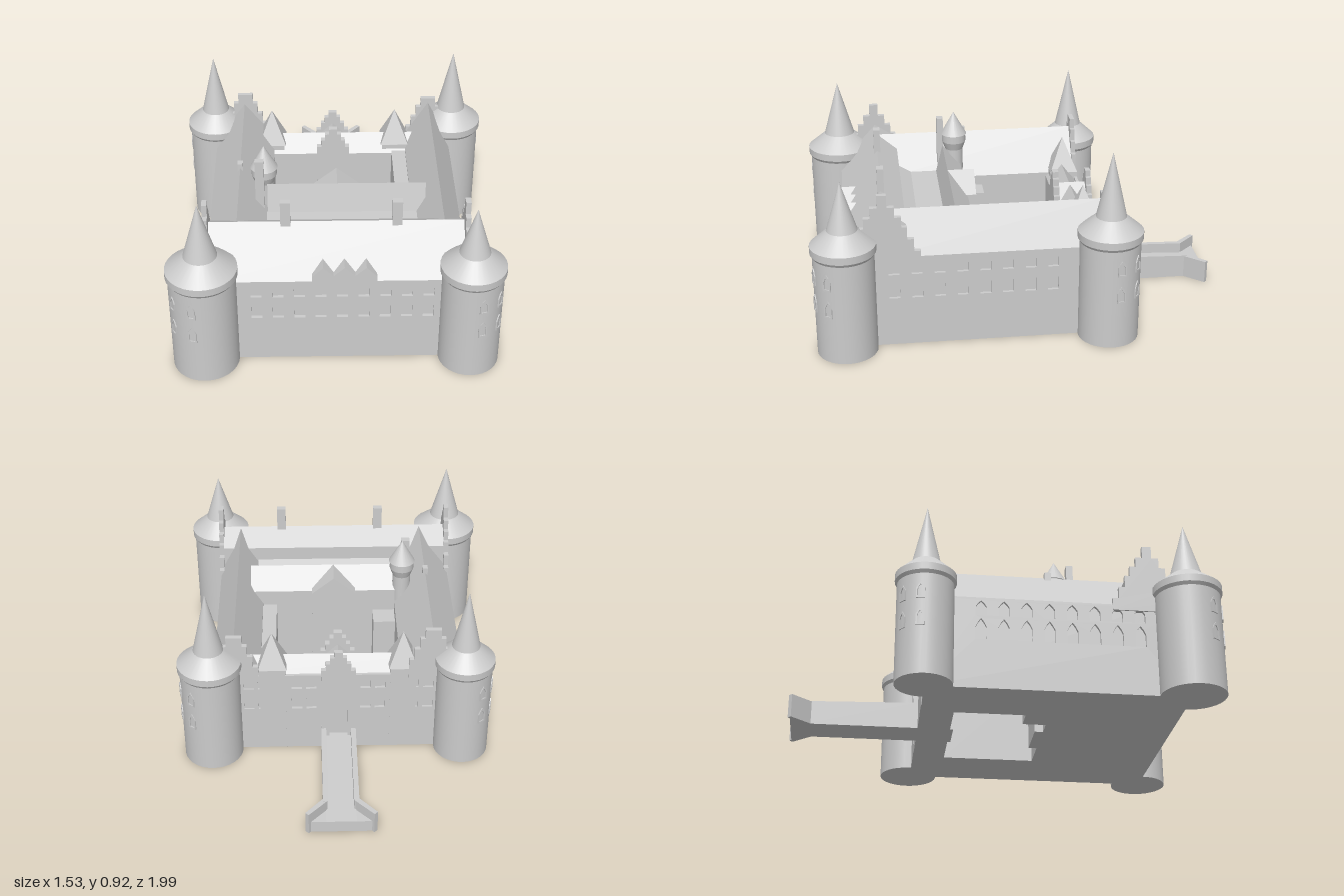
import * as THREE from 'three';

const mat = new THREE.MeshStandardMaterial({ color: 0xcccccc, side: THREE.DoubleSide });
const flat = new THREE.MeshStandardMaterial({ color: 0xcccccc, flatShading: true, side: THREE.DoubleSide });

function add(parent, name, geo, x = 0, y = 0, z = 0, ry = 0, material = flat) {
  const m = new THREE.Mesh(geo, material);
  m.name = name;
  m.position.set(x, y, z);
  m.rotation.y = ry;
  parent.add(m);
  return m;
}
const poly = pts => new THREE.Shape(pts.map(p => new THREE.Vector2(p[0], p[1])));
const extrude = (shape, depth) => new THREE.ExtrudeGeometry(shape, { depth, bevelEnabled: false });

// box given by its limits
function block(parent, name, x0, x1, y0, y1, z0, z1) {
  add(parent, name, new THREE.BoxGeometry(x1 - x0, y1 - y0, z1 - z0), (x0 + x1) / 2, (y0 + y1) / 2, (z0 + z1) / 2);
}
// prism along z from an (x, y) outline
function prismZ(parent, name, pts, z0, z1) {
  add(parent, name, extrude(poly(pts), z1 - z0), 0, 0, z0);
}
// prism along x from a (z, y) outline
function prismX(parent, name, pts, x0, x1) {
  add(parent, name, extrude(poly(pts.map(([z, y]) => [-z, y])), x1 - x0), x0, 0, 0, Math.PI / 2);
}
// pointed arch outline
const arch = (x, y, w, h) => [
  [x - w / 2, y], [x + w / 2, y], [x + w / 2, y + h * 0.6], [x + w * 0.28, y + h * 0.82],
  [x, y + h], [x - w * 0.28, y + h * 0.82], [x - w / 2, y + h * 0.6]];

// wall plate pierced by two rows of windows, outer face along local +z
const SKIN = 0.015;
function windowWall(parent, name, u0, u1, h, columns, x, z, ry) {
  const wall = poly([[u0, 0], [u1, 0], [u1, h], [u0, h]]);
  for (const u of columns) {
    wall.holes.push(new THREE.Path(poly(arch(u, 0.24, 0.05, 0.105)).getPoints()));
    wall.holes.push(new THREE.Path(poly(arch(u, 0.36, 0.05, 0.075)).getPoints()));
  }
  add(parent, name, extrude(wall, SKIN), x, 0, z, ry);
}

// stepped gable outline; steps are [half width, top] from narrow to wide
function stepped(c, base, steps) {
  const right = [];
  let low = base;
  for (const [hw, top] of [...steps].reverse()) {
    right.push([hw, low], [hw, top]);
    low = top;
  }
  const left = right.map(([x, y]) => [c - x, y]).reverse();
  return [...right.map(([x, y]) => [c + x, y]), ...left];
}

// round corner tower with flared spire and arched window frames
function tower(name, x, z, r, tip) {
  const g = new THREE.Group();
  g.name = name;
  g.position.set(x, 0, z);
  const R = r + 0.01;
  const parts = [
    ['towerBody', r, r, 0, 0.49], ['towerCorbel', r, R, 0.49, 0.505], ['towerEave', R, R, 0.505, 0.54],
    ['roofFlare', R, R * 0.47, 0.54, 0.61], ['spire', R * 0.47, 0, 0.61, tip]];
  for (const [n, r0, r1, y0, y1] of parts)
    add(g, n, new THREE.CylinderGeometry(r1, r0, y1 - y0, 32), 0, (y0 + y1) / 2, 0, 0, mat);
  const diagonal = Math.atan2(x, z);
  for (const da of [-0.35, 0.35]) for (const [y, h] of [[0.23, 0.085], [0.365, 0.08]]) {
    const frame = poly(arch(0, y, 0.04, h));
    frame.holes.push(new THREE.Path(poly(arch(0, y + 0.008, 0.026, h - 0.02)).getPoints()));
    const a = diagonal + da, d = r - 0.006;
    add(g, 'towerWindow', extrude(frame, 0.01), d * Math.sin(a), 0, d * Math.cos(a), a);
  }
  return g;
}

export function createModel() {
  const castle = new THREE.Group();
  castle.name = 'castle';

  castle.add(
    tower('frontRightTower', -0.605, 0.832, 0.153, 0.88),
    tower('frontLeftTower', 0.61, 0.83, 0.14, 0.84),
    tower('backRightTower', -0.6, -0.385, 0.132, 0.905),
    tower('backLeftTower', 0.61, -0.39, 0.142, 0.92));

  // front wing with its rear gallery
  prismX(castle, 'frontWing', [[0.815, 0], [0.815, 0.45], [0.83, 0.45], [0.645, 0.65], [0.54, 0.58], [0.54, 0]], -0.58, 0.58);
  prismX(castle, 'gallery', [[0.54, 0], [0.54, 0.51], [0.475, 0.48], [0.34, 0.48], [0.34, 0]], -0.35, 0.4);
  const nine = Array.from({ length: 9 }, (_, i) => -0.365 + i * 0.0975);
  windowWall(castle, 'frontWall', -0.58, 0.58, 0.45, nine, 0, 0.815, 0);

  // three small gables over the front
  prismZ(castle, 'frontGables', [[-0.112, 0.44], [0.18, 0.44], [0.18, 0.475], [0.132, 0.525], [0.083, 0.48],
    [0.034, 0.525], [-0.015, 0.48], [-0.063, 0.525], [-0.112, 0.475]], 0.74, 0.83);

  // side wings
  prismZ(castle, 'rightWing', [[-0.58, 0], [-0.3, 0], [-0.3, 0.45], [-0.45, 0.645], [-0.595, 0.45], [-0.58, 0.45]], -0.37, 0.645);
  prismZ(castle, 'leftWing', [[0.58, 0], [0.58, 0.45], [0.595, 0.45], [0.49, 0.645], [0.37, 0.45], [0.37, 0]], -0.37, 0.645);
  block(castle, 'courtyardLeanTo', 0.3, 0.38, 0, 0.44, -0.23, 0.23);
  const eight = Array.from({ length: 8 }, (_, i) => -0.13 + i * 0.105);
  windowWall(castle, 'leftWall', -0.82, 0.38, 0.45, eight.map(z => -z), 0.58, 0, Math.PI / 2);
  windowWall(castle, 'rightWall', -0.38, 0.82, 0.45, eight, -0.58, 0, -Math.PI / 2);

  // back wing
  prismX(castle, 'backWing', [[-0.365, 0], [-0.365, 0.43], [-0.3, 0.51], [-0.225, 0.43], [-0.225, 0]], -0.58, 0.58);
  windowWall(castle, 'backWall', -0.58, 0.58, 0.44, [-0.43, -0.36, -0.2, -0.13, 0.13, 0.2, 0.36, 0.43], 0, -0.365, Math.PI);

  // stepped gables on the wing ends
  const tall = [[0.022, 0.76], [0.055, 0.7], [0.085, 0.65], [0.11, 0.6], [0.14, 0.54], [0.17, 0.48]];
  for (const s of [-1, 1])
    prismX(castle, 'frontWingGable', stepped(0.65, 0.42, tall), s * 0.59 - 0.012, s * 0.59 + 0.012);
  for (const [x, top] of [[-0.445, 0.7], [0.49, 0.67]])
    prismZ(castle, 'sideWingGable', stepped(x, 0.42, [[0.037, top], [0.06, top - 0.05], [0.085, top - 0.11], [0.11, top - 0.17]]), -0.388, -0.365);

  // gatehouse: stepped gables front and rear, arched door and cross roof
  const gateSteps = [[0.02, 0.585], [0.04, 0.555], [0.06, 0.52], [0.082, 0.48]];
  const gate = poly(stepped(0, 0, gateSteps));
  gate.holes.push(new THREE.Path(poly(arch(0, 0.08, 0.09, 0.27)).getPoints()));
  add(castle, 'gateGable', extrude(gate, 0.025), 0, 0, -0.4);
  prismZ(castle, 'gateInnerGable', stepped(0, 0, gateSteps), -0.24, -0.21);
  prismZ(castle, 'gateRoof', [[-0.07, 0.4], [0.07, 0.4], [0.07, 0.45], [0, 0.52], [-0.07, 0.45]], -0.38, -0.23);

  // pyramid roofs on the back wing
  for (const x of [-0.31, 0.315]) {
    block(castle, 'pavilion', x - 0.062, x + 0.062, 0, 0.47, -0.381, -0.24);
    const roof = add(castle, 'pavilionRoof', new THREE.ConeGeometry(0.098, 0.17, 4, 1, false, Math.PI / 4), x, 0.555, -0.31);
    roof.castShadow = true;
  }

  // inner wing across the courtyard, with a gabled porch
  prismX(castle, 'innerWing', [[0.345, 0], [0.345, 0.48], [0.31, 0.62], [0.22, 0.52], [0.22, 0]], -0.32, 0.43);
  prismZ(castle, 'porch', [[-0.1, 0], [0.12, 0], [0.12, 0.53], [0.01, 0.62], [-0.1, 0.53]], 0.18, 0.31);
  block(castle, 'courtyardAnnex', -0.31, -0.19, 0, 0.4, 0.11, 0.23);

  // stair turret
  for (const [n, r0, r1, y0, y1] of [['turretBody', 0.045, 0.045, 0, 0.62], ['turretCorbel', 0.045, 0.06, 0.6, 0.64],
    ['turretDrum', 0.06, 0.06, 0.64, 0.68], ['turretRoof', 0.065, 0, 0.68, 0.795]])
    add(castle, n, new THREE.CylinderGeometry(r1, r0, y1 - y0, 20), -0.335, (y0 + y1) / 2, 0.25, 0, mat);

  // chimneys: x, z, width, top
  for (const [x, z, w, top] of [[-0.23, 0.645, 0.045, 0.76], [0.275, 0.645, 0.045, 0.76], [-0.355, 0.32, 0.042, 0.76], [-0.45, 0.2, 0.025, 0.67]])
    block(castle, 'chimney', x - w / 2, x + w / 2, 0.5, top, z - 0.016, z + 0.016);

  // bridge with sloping deck, parapets and splayed ends
  const bridge = new THREE.Group();
  bridge.name = 'bridge';
  castle.add(bridge);
  prismX(bridge, 'bridgeDeck', [[-0.37, 0], [-0.37, 0.085], [-0.98, 0.06], [-0.98, 0]], -0.07, 0.07);
  for (const s of [-1, 1]) {
    prismX(bridge, 'parapet', [[-0.38, 0], [-0.38, 0.13], [-0.9, 0.115], [-0.9, 0]], s * 0.072 - 0.012, s * 0.072 + 0.012);
    const wing = poly([[s * 0.06, 0.895], [s * 0.085, 0.885], [s * 0.165, 0.975], [s * 0.15, 0.99]]);
    const apron = poly([[s * 0.06, 0.89], [s * 0.14, 0.98], [s * 0.06, 0.98]]);
    for (const [n, shape, h] of [['splayedParapet', wing, 0.113], ['apron', apron, 0.06]])
      add(bridge, n, extrude(shape, h)).rotation.x = -Math.PI / 2;
  }
  return castle;
}
